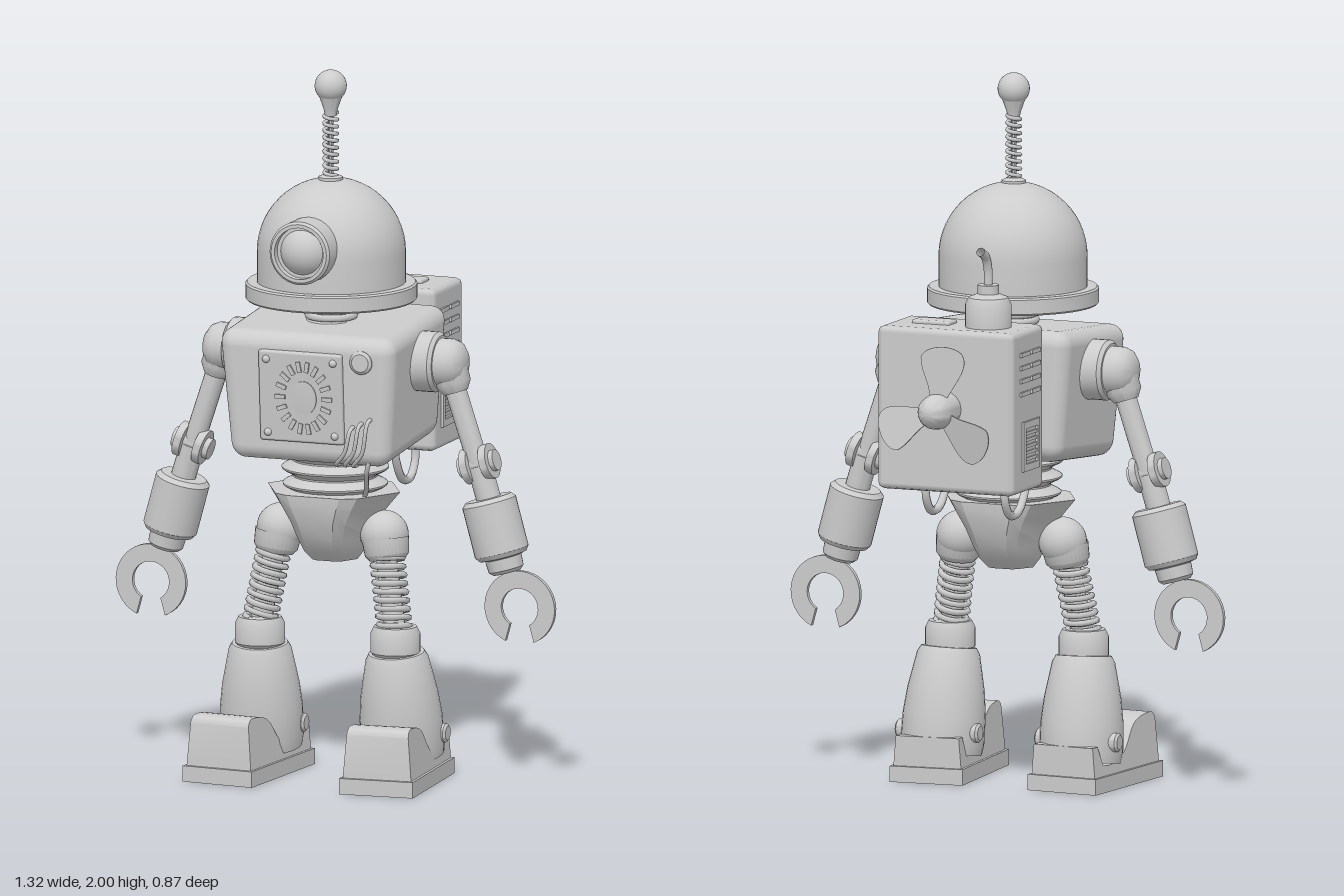
import * as THREE from 'three';
import { toCreasedNormals } from 'three/addons/utils/BufferGeometryUtils.js';
import { RoundedBoxGeometry } from 'three/addons/geometries/RoundedBoxGeometry.js';

const grey = new THREE.MeshStandardMaterial({ color: 0xcccccc, side: THREE.DoubleSide });
const V = (x, y, z) => new THREE.Vector3(x, y, z);
const UP = V(0, 1, 0);

function add(parent, name, geo, pos = V(0, 0, 0)) {
  const m = new THREE.Mesh(geo, grey);
  m.name = name;
  m.position.copy(pos);
  parent.add(m);
  return m;
}
// Turned part: profile of [radius, height] pairs, standing on base along dir
function turned(parent, name, profile, base, dir = UP, segs = 32) {
  const geo = toCreasedNormals(new THREE.LatheGeometry(profile.map(([r, h]) => new THREE.Vector2(r, h)), segs), 0.6);
  const m = add(parent, name, geo, base);
  m.quaternion.setFromUnitVectors(UP, dir.clone().normalize());
  return m;
}
const rod = (parent, name, a, b, r, segs = 20) => {
  const l = a.distanceTo(b);
  return turned(parent, name, [[0, 0], [r, 0], [r, l], [0, l]], a, b.clone().sub(a), segs);
};
const box = (parent, name, w, h, d, pos) => add(parent, name, new THREE.BoxGeometry(w, h, d), pos);
const ball = (parent, name, r, pos) => add(parent, name, new THREE.SphereGeometry(r, 28, 20), pos);
const tube = (parent, name, pts, r) =>
  add(parent, name, new THREE.TubeGeometry(new THREE.CatmullRomCurve3(pts), 32, r, 8));
// Coil spring between two points
function spring(parent, name, a, b, r, wire, turns) {
  const l = a.distanceTo(b), pts = [];
  for (let i = 0; i <= turns * 12; i++) {
    const t = (i / 12) * Math.PI * 2;
    pts.push(V(Math.cos(t) * r, (l * i) / (turns * 12), Math.sin(t) * r));
  }
  const m = add(parent, name, new THREE.TubeGeometry(new THREE.CatmullRomCurve3(pts), turns * 16, wire, 6), a);
  m.quaternion.setFromUnitVectors(UP, b.clone().sub(a).normalize());
}
// Flat part cut from a shape, extruded along z
const plate = (shape, depth) => new THREE.ExtrudeGeometry(shape, { depth, bevelEnabled: false, curveSegments: 16 });

function buildHead(g) {
  const c = V(0, 0, 0.16);
  const dome = [[0.208, 1.39]];
  for (let i = 0; i <= 14; i++) {
    const a = (i / 14) * Math.PI / 2;
    dome.push([0.208 * Math.cos(a), 1.485 + 0.208 * Math.sin(a)]);
  }
  turned(g, 'headDome', dome, c, UP, 48);
  turned(g, 'headBrim', [[0, 1.35], [0.235, 1.35], [0.24, 1.355], [0.24, 1.395], [0.235, 1.4], [0.2, 1.4]], c, UP, 48);
  turned(g, 'eyeHousing', [[0.09, 0], [0.09, 0.18], [0.083, 0.187], [0.073, 0.187], [0.073, 0.165], [0, 0.165]], V(0, 1.52, 0.22), V(0, 0, 1));
  ball(g, 'eyeLens', 0.075, V(0, 1.52, 0.345));
  // Antenna
  turned(g, 'antennaBase', [[0.034, 1.67], [0.034, 1.697], [0.02, 1.703], [0, 1.703]], V(0, 0, 0.165));
  rod(g, 'antennaRod', V(0, 1.69, 0.165), V(0, 1.9, 0.165), 0.008, 10);
  spring(g, 'antennaSpring', V(0, 1.7, 0.165), V(0, 1.88, 0.165), 0.018, 0.006, 9);
  turned(g, 'antennaNeck', [[0.016, 1.87], [0.02, 1.89], [0.036, 1.935]], V(0, 0, 0.165));
  ball(g, 'antennaBall', 0.045, V(0, 1.955, 0.165));
  // Ribbed neck
  rod(g, 'neck', V(0, 1.27, 0.16), V(0, 1.36, 0.16), 0.064);
  for (let i = 0; i < 4; i++)
    add(g, 'neckRing', new THREE.TorusGeometry(0.064, 0.011, 8, 32).rotateX(Math.PI / 2), V(0, 1.285 + i * 0.02, 0.16));
}

function buildTorso(g) {
  // Rounded box narrowing downwards, top sloping forward
  const geo = new RoundedBoxGeometry(0.53, 0.37, 0.44, 5, 0.045), p = geo.attributes.position;
  for (let i = 0; i < p.count; i++) {
    const t = p.getY(i) / 0.37 + 0.5, z = p.getZ(i);
    p.setX(i, p.getX(i) * (0.89 + 0.11 * t));
    p.setZ(i, z + (z > 0 ? 0.025 * (t - 1) : 0));
    p.setY(i, p.getY(i) - z * 0.08);
  }
  add(g, 'torso', geo, V(0, 1.112, 0.148));

  // Chest panel with corner screws and an oval vent
  const panel = new THREE.Group();
  panel.name = 'chestPanel';
  panel.position.set(-0.01, 1.105, 0.36);
  panel.rotation.x = 0.07;
  g.add(panel);
  add(panel, 'panelPlate', new RoundedBoxGeometry(0.25, 0.26, 0.02, 2, 0.008));
  for (const x of [-0.1, 0.1]) for (const y of [-0.105, 0.105]) ball(panel, 'panelScrew', 0.011, V(x, y, 0.009));
  for (let i = 0; i < 18; i++) {
    const a = (i / 18) * Math.PI * 2;
    box(panel, 'ventSlat', 0.03, 0.012, 0.01, V(0.01 + Math.cos(a) * 0.07, Math.sin(a) * 0.09, 0.01)).rotation.z = a;
  }
  turned(panel, 'ventCentre', [[0.048, 0], [0.048, 0.013], [0, 0.016]], V(0.01, 0, 0), V(0, 0, 1)).scale.x = 0.8;
  turned(g, 'chestButton', [[0.033, 0], [0.033, 0.02], [0.025, 0.026], [0, 0.026]], V(0.17, 1.215, 0.348), V(0, 0, 1));

  // Loose wires in front
  for (let i = 0; i < 3; i++) {
    const x = 0.14 + i * 0.026;
    tube(g, 'wire', [V(x, 1.03 + i * 0.012, 0.33), V(x, 1.02 + i * 0.012, 0.375), V(x - 0.015, 0.96, 0.375), V(x - 0.05, 0.92, 0.35), V(x - 0.06, 0.91, 0.3)], 0.006);
  }
  tube(g, 'waistWire', [V(0.19, 0.97, 0.33), V(0.17, 0.9, 0.32), V(0.14, 0.83, 0.25), V(0.11, 0.79, 0.2)], 0.007);

  // Bellows waist
  const w = [];
  for (let i = 0; i <= 40; i++) w.push([0.128 + 0.016 * Math.sin(i * Math.PI / 5) + i * 0.0003, 0.765 + i * 0.0046]);
  turned(g, 'waistBellows', w, V(0, 0, 0.13), UP, 40);

  // Faceted pelvis: hexagonal sections shrinking to a rounded bottom
  const levels = [[0.81, 0, 0], [0.81, 0.198, 0.16], [0.775, 0.168, 0.158], [0.73, 0.132, 0.145], [0.68, 0.108, 0.125], [0.64, 0.092, 0.095], [0.612, 0.07, 0.06], [0.61, 0, 0]];
  const plan = [[1, 0], [0.62, 0.85], [0.4, 1], [-0.4, 1], [-0.62, 0.85], [-1, 0], [-0.62, -0.85], [-0.4, -1], [0.4, -1], [0.62, -0.85]];
  const pos = [], idx = [], n = plan.length;
  levels.forEach(([y, hx, hz], j) => plan.forEach(([x, z], i) => {
    pos.push(x * hx, y, 0.14 + z * hz);
    if (j) {
      const a = (j - 1) * n + i, b = (j - 1) * n + (i + 1) % n;
      idx.push(a, b, a + n, b, b + n, a + n);
    }
  }));
  const pel = new THREE.BufferGeometry();
  pel.setAttribute('position', new THREE.Float32BufferAttribute(pos, 3));
  // Corners run clockwise seen from above, so reverse them to face outwards
  pel.setIndex(idx.reverse());
  add(g, 'pelvis', toCreasedNormals(pel, 0.5));
}

function buildPack(g) {
  add(g, 'backpack', new RoundedBoxGeometry(0.416, 0.46, 0.222, 1, 0.018), V(0, 1.112, -0.207));
  box(g, 'packMount', 0.31, 0.3, 0.06, V(0, 1.12, -0.08));
  add(g, 'packHatch', new RoundedBoxGeometry(0.115, 0.02, 0.06, 2, 0.006), V(0.08, 1.342, -0.205));
  // Exhaust
  turned(g, 'exhaustPot', [[0.065, 0], [0.065, 0.065], [0.055, 0.085], [0.03, 0.095], [0.03, 0.12], [0, 0.122]], V(-0.085, 1.34, -0.207));
  tube(g, 'exhaustPipe', [V(-0.085, 1.45, -0.207), V(-0.085, 1.505, -0.21), V(-0.085, 1.54, -0.226), V(-0.085, 1.56, -0.262)], 0.013);
  // Side vents and grille windows
  const frame = new THREE.Shape([[-0.055, -0.07], [0.055, -0.07], [0.055, 0.07], [-0.055, 0.07]].map(a => new THREE.Vector2(...a)));
  frame.holes.push(new THREE.Path([[-0.04, -0.05], [-0.04, 0.05], [0.04, 0.05], [0.04, -0.05]].map(a => new THREE.Vector2(...a))));
  for (const s of [1, -1]) {
    for (let i = 0; i < 4; i++) for (const z of [-0.165, -0.24])
      box(g, 'sideVent', 0.012, 0.012, 0.06, V(s * 0.208, 1.165 + i * 0.037, z));
    add(g, 'grilleFrame', plate(frame, 0.014).rotateY(Math.PI / 2), V(s * 0.208 - 0.007, 1.015, -0.2));
    for (let i = 0; i < 5; i++) box(g, 'grilleBar', 0.01, 0.009, 0.08, V(s * 0.208, 0.978 + i * 0.018, -0.2));
    tube(g, 'hose', [V(s * 0.12, 0.95, -0.01), V(s * 0.12, 0.87, -0.025), V(s * 0.12, 0.805, -0.075), V(s * 0.12, 0.8, -0.135), V(s * 0.12, 0.84, -0.17), V(s * 0.12, 0.9, -0.175)], 0.012);
  }
  // Propeller
  const hub = V(0, 1.12, -0.3);
  turned(g, 'propellerHub', [[0.05, 0], [0.05, 0.075], [0.046, 0.1], [0.036, 0.12], [0.02, 0.135], [0, 0.139]], hub, V(0, 0, -1));
  const leaf = new THREE.Shape();
  leaf.moveTo(-0.02, 0.02);
  leaf.bezierCurveTo(-0.04, 0.08, -0.09, 0.13, -0.06, 0.17);
  leaf.bezierCurveTo(-0.02, 0.2, 0.05, 0.18, 0.055, 0.15);
  leaf.bezierCurveTo(0.05, 0.1, 0.02, 0.08, 0.02, 0.02);
  for (let i = 0; i < 3; i++) {
    const geo = plate(leaf, 0.004).rotateY(0.22);
    add(g, 'propellerBlade', geo, V(0, 1.12, -0.377)).rotation.z = 0.08 + i * Math.PI * 2 / 3;
  }
}

function buildArm(g, s) {
  const z = 0.125, P = (x, y, dz = 0) => V(s * x, y, z + dz);
  const out = V(s, 0, 0), down = V(s * 0.06, -0.2, 0);
  turned(g, 'shoulderFlange', [[0.085, 0], [0.085, 0.07], [0.075, 0.08], [0, 0.08]], P(0.235, 1.185), out);
  turned(g, 'shoulderSocket', [[0.068, 0], [0.068, 0.07], [0.06, 0.09], [0.04, 0.105], [0, 0.11]], P(0.28, 1.185), out);
  turned(g, 'shoulderCuff', [[0.05, 0], [0.05, 0.06], [0.035, 0.085], [0, 0.085]], P(0.335, 1.185), down);
  rod(g, 'upperArm', P(0.342, 1.16), P(0.425, 0.91), 0.03);
  // Elbow hinge
  const axis = V(s * 0.95, 0.28, 0);
  rod(g, 'elbowPin', P(0.375, 0.889), P(0.482, 0.92), 0.03);
  for (const o of [-0.04, 0.018])
    turned(g, 'elbowDisc', [[0, 0], [0.05, 0], [0.05, 0.022], [0, 0.022]], P(0.43 + o, 0.905 + o * 0.3), axis);
  rod(g, 'elbowLink', P(0.43, 0.9), P(0.46, 0.8), 0.035);
  // Forearm and wrist in one turning
  turned(g, 'forearm', [[0, 0], [0.065, 0], [0.077, 0.012], [0.077, 0.155], [0.068, 0.168], [0.052, 0.172], [0.05, 0.205], [0.04, 0.215], [0, 0.215]], P(0.456, 0.81), V(s * 0.055, -0.2, 0));
  // Flat open claw
  const claw = new THREE.Shape(), d = Math.PI / 180;
  claw.absarc(0, 0, 0.105, -66 * d, 246 * d, false);
  claw.absarc(0, 0, 0.055, 238 * d, -58 * d, true);
  add(g, 'claw', plate(claw, 0.014), P(0.553, 0.505, -0.007));
}

function buildLeg(g, s) {
  const P = (x, y, z) => V(s * x, y, z);
  ball(g, 'hipBall', 0.068, P(0.155, 0.69, 0.15));
  const legDir = P(0.03, -0.2, 0.02);
  turned(g, 'hipCup', [[0.066, 0], [0.062, 0.045], [0.05, 0.06], [0, 0.06]], P(0.16, 0.68, 0.155), legDir);
  rod(g, 'thighCore', P(0.165, 0.64, 0.165), P(0.205, 0.4, 0.19), 0.03, 14);
  spring(g, 'thighSpring', P(0.168, 0.64, 0.165), P(0.202, 0.43, 0.19), 0.043, 0.009, 9);
  turned(g, 'kneeCap', [[0.06, 0], [0.07, 0.012], [0.07, 0.065], [0.06, 0.085], [0, 0.088]], P(0.203, 0.355, 0.188));
  turned(g, 'shin', [[0, 0], [0.112, 0], [0.117, 0.03], [0.116, 0.11], [0.108, 0.18], [0.088, 0.28], [0.078, 0.298], [0, 0.3]], P(0.212, 0.07, 0.148), P(-0.007, 0.29, 0.035));
  // Foot, toes turned slightly out
  const foot = new THREE.Group();
  foot.name = 'foot';
  foot.position.set(s * 0.222, 0, 0.225);
  foot.rotation.y = s * 0.08;
  g.add(foot);
  box(foot, 'sole', 0.215, 0.045, 0.4, V(0, 0.0225, 0));
  const side = new THREE.Shape();
  side.moveTo(-0.19, 0.04);
  side.lineTo(0.19, 0.04);
  side.lineTo(0.185, 0.165);
  side.quadraticCurveTo(0.18, 0.187, 0.155, 0.187);
  side.bezierCurveTo(0.02, 0.185, 0.05, 0.13, -0.02, 0.09);
  side.quadraticCurveTo(-0.08, 0.065, -0.135, 0.075);
  side.lineTo(-0.16, 0.13);
  side.lineTo(-0.19, 0.13);
  const geo = plate(side, 0.2).rotateY(-Math.PI / 2).translate(0.1, 0, 0), p = geo.attributes.position;
  for (let i = 0; i < p.count; i++) p.setX(i, p.getX(i) * (1 - 0.8 * (p.getY(i) - 0.04)));
  add(foot, 'shoe', toCreasedNormals(geo, 0.5));
  for (const o of [1, -1])
    turned(g, 'ankleBolt', [[0.027, 0], [0.027, 0.02], [0.02, 0.026], [0, 0.026]], P(0.212 + o * 0.1, 0.135, 0.13), V(s * o, 0, 0), 20);
}

export function createModel() {
  const robot = new THREE.Group();
  robot.name = 'robot';
  const part = (name, build, s) => {
    const g = new THREE.Group();
    g.name = name;
    build(g, s);
    robot.add(g);
  };
  part('head', buildHead);
  part('body', buildTorso);
  part('pack', buildPack);
  for (const [n, s] of [['left', 1], ['right', -1]]) {
    part(n + 'Arm', buildArm, s);
    part(n + 'Leg', buildLeg, s);
  }
  return robot;
}
